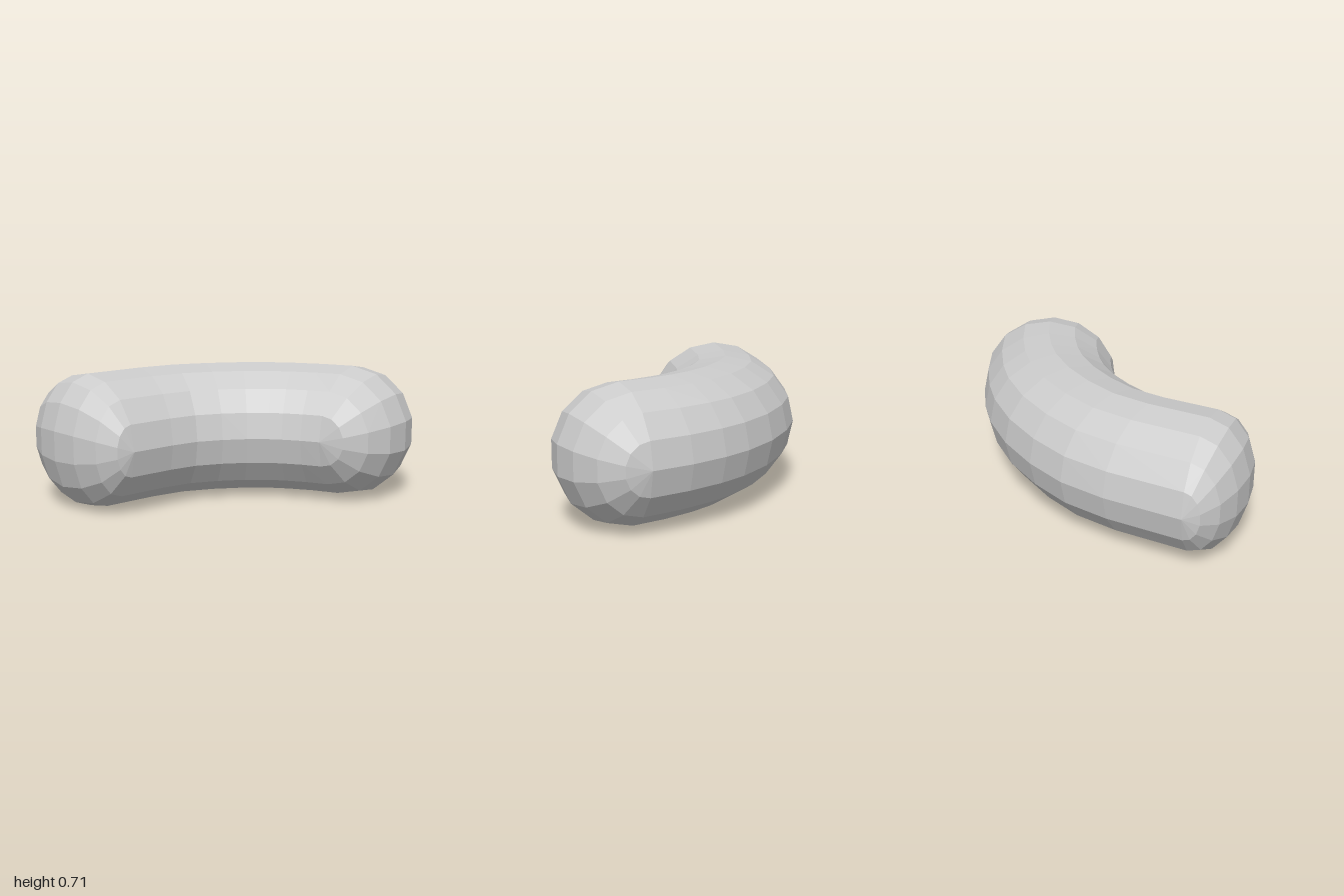
import * as THREE from 'three';

const SIDES = 16, CAP_STEPS = 7;
const RADIUS = 0.38, HALF_HEIGHT = 0.353;

// Cross-sections along the bend: x, z, heading in degrees
const STATIONS = [
  [-0.66, 0.35, -54.7], [-0.455, 0.095, -41.8], [-0.31, -0.045, -33.7],
  [-0.145, -0.14, -25.9], [0.035, -0.21, -16.3], [0.21, -0.245, -6],
  [0.335, -0.25, 2.3], [0.49, -0.237, 10.6], [0.65, -0.204, 20.1],
];

// Point from a station: across (outward), up and along the heading
function place([x, z, deg], across, up, along) {
  const a = THREE.MathUtils.degToRad(deg), s = Math.sin(a), c = Math.cos(a);
  return new THREE.Vector3(x + s * across + c * along, HALF_HEIGHT + up, z - c * across + s * along);
}

// Flat-shaded sheet over a grid of points, skipping collapsed triangles
function sheet(name, nu, nv, point, flip, material) {
  const points = [];
  const add = (a, b, c) => {
    const area = b.clone().sub(a).cross(c.clone().sub(a)).length();
    if (area > 1e-7) points.push(...(flip ? [a, c, b] : [a, b, c]));
  };
  for (let u = 0; u < nu; u++) {
    for (let v = 0; v < nv; v++) {
      const a = point(u, v), b = point(u + 1, v), c = point(u + 1, v + 1), d = point(u, v + 1);
      add(a, b, c);
      add(a, c, d);
    }
  }
  const geometry = new THREE.BufferGeometry().setFromPoints(points);
  geometry.computeVertexNormals();
  const mesh = new THREE.Mesh(geometry, material);
  mesh.name = name;
  return mesh;
}

export function createModel() {
  const group = new THREE.Group();
  group.name = 'curvedSausage';
  const material = new THREE.MeshStandardMaterial({ color: 0xcccccc, flatShading: true });
  const step = (2 * Math.PI) / SIDES;

  // Bent body
  group.add(sheet('body', SIDES, STATIONS.length - 1, (u, v) =>
    place(STATIONS[v], RADIUS * Math.cos(u * step), HALF_HEIGHT * Math.sin(u * step), 0), false, material));

  // Rounded ends, with poles on the inner and outer sides of the bend
  const addCap = (name, station, depth) => group.add(sheet(name, SIDES / 2, CAP_STEPS, (u, v) => {
    const t = u * step, phi = (v * Math.PI) / CAP_STEPS;
    return place(station, RADIUS * Math.cos(t), HALF_HEIGHT * Math.sin(t) * Math.cos(phi),
      depth * Math.sin(t) * Math.sin(phi));
  }, depth < 0, material));
  addCap('leftEnd', STATIONS[STATIONS.length - 1], 0.33);
  addCap('rightEnd', STATIONS[0], -0.225);

  return group;
}
